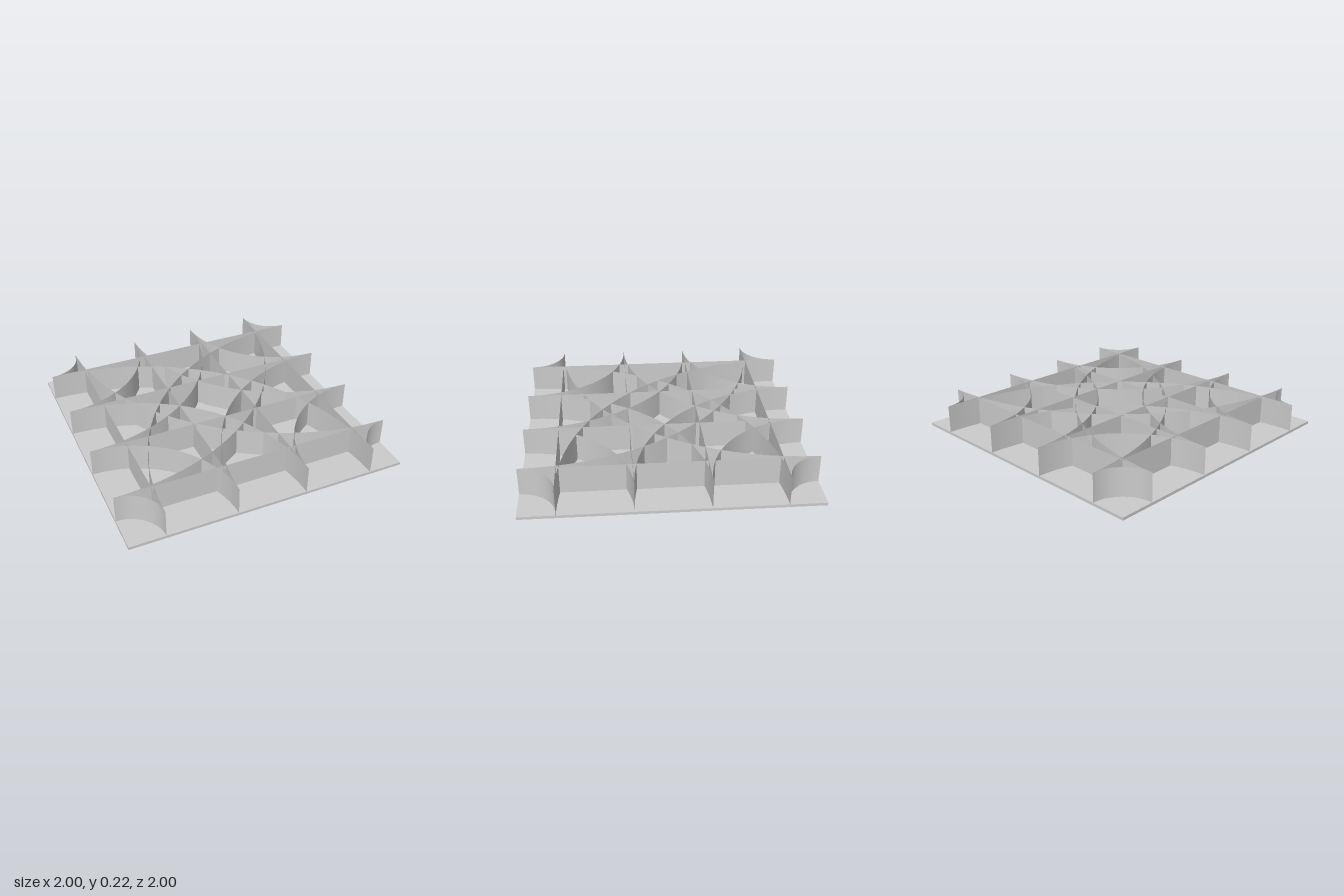
import * as THREE from 'three';

const BASE = 0.02;   // plate thickness
const WALL = 0.2;    // wall height
const PORTS = [-0.75, -0.25, 0.25, 0.75]; // where walls meet each edge

export function createModel() {
  const model = new THREE.Group();
  const material = new THREE.MeshStandardMaterial({ color: 0xcccccc });
  const thin = new THREE.MeshStandardMaterial({ color: 0xcccccc, side: THREE.DoubleSide });
  const y = BASE + WALL / 2;

  // Square base plate
  const plate = new THREE.Mesh(new THREE.BoxGeometry(2, BASE, 2), material);
  plate.name = 'basePlate';
  plate.position.y = BASE / 2;
  model.add(plate);

  // Straight walls joining opposite edges, in both directions
  const straight = new THREE.PlaneGeometry(2, WALL);
  for (const p of PORTS) {
    const across = new THREE.Mesh(straight, thin);
    across.name = 'straightWallAcross';
    across.position.set(0, y, p);
    const along = new THREE.Mesh(straight, thin);
    along.name = 'straightWallAlong';
    along.position.set(p, y, 0);
    along.rotation.y = Math.PI / 2;
    model.add(across, along);
  }

  // Quarter-circle walls around every corner, joining neighbouring edges
  for (let k = 0; k < 4; k++) {
    const corner = new THREE.Group();
    corner.name = 'cornerArcs';
    corner.rotation.y = k * Math.PI / 2;
    for (const p of PORTS) {
      const r = 1 + p;
      const arc = new THREE.Mesh(
        new THREE.CylinderGeometry(r, r, WALL, 48, 1, true, Math.PI, Math.PI / 2), thin);
      arc.name = 'curvedWall';
      arc.position.set(1, y, 1);
      corner.add(arc);
    }
    model.add(corner);
  }
  return model;
}
